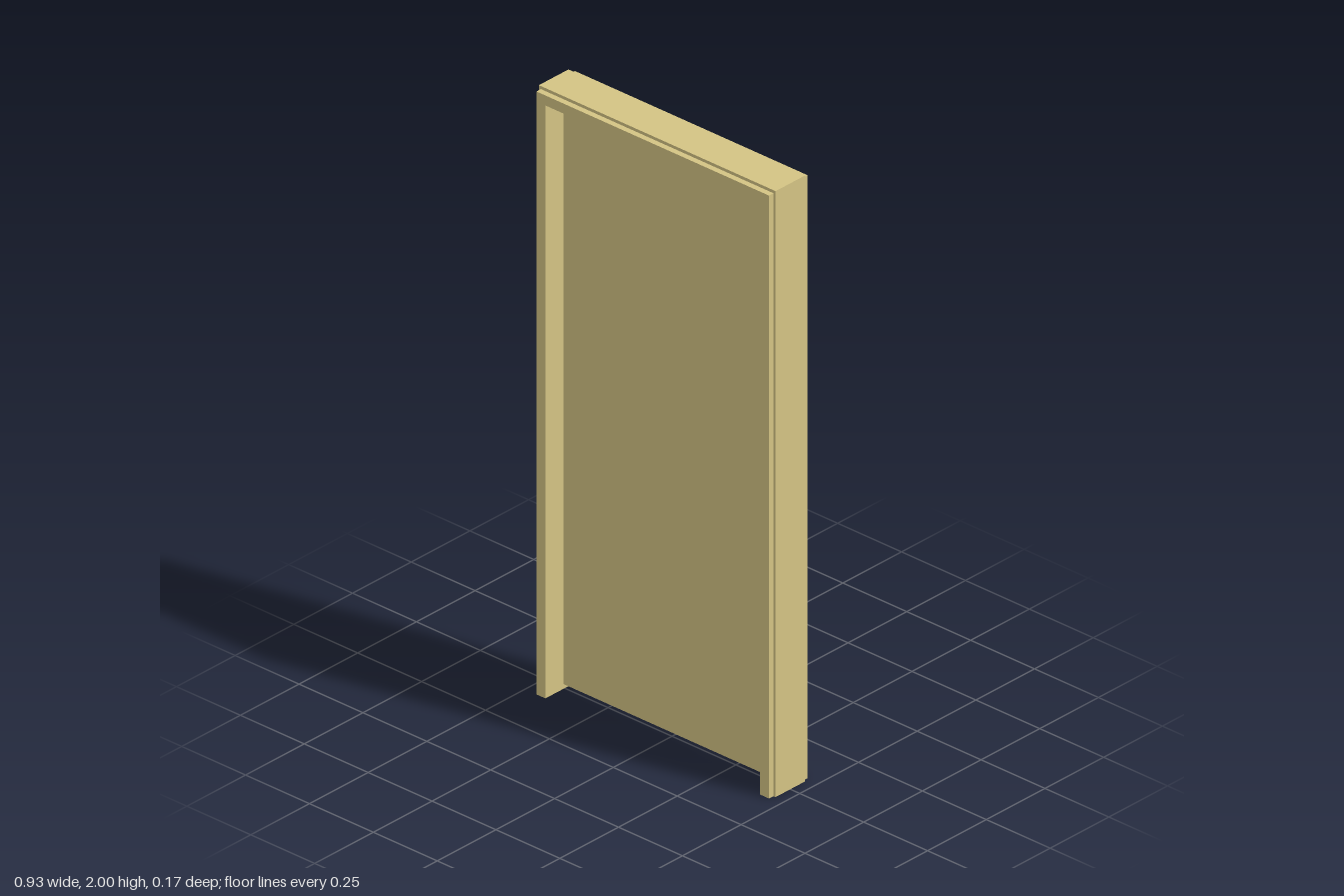
import * as THREE from 'three';

const wood = new THREE.MeshStandardMaterial({ color: 0xd4c484 });

function mesh(name, geometry, x, y, z) {
  const m = new THREE.Mesh(geometry, wood);
  m.name = name;
  m.position.set(x, y, z);
  return m;
}

// Box given by its limits on each axis
function block(name, [x0, x1], [y0, y1], [z0, z1]) {
  return mesh(name, new THREE.BoxGeometry(x1 - x0, y1 - y0, z1 - z0),
    (x0 + x1) / 2, (y0 + y1) / 2, (z0 + z1) / 2);
}

// Round part whose axis points along z
function disc(name, radius, x, y, [z0, z1], sides = 32) {
  const g = new THREE.CylinderGeometry(radius, radius, z1 - z0, sides).rotateX(Math.PI / 2);
  return mesh(name, g, x, y, (z0 + z1) / 2);
}

const INNER = 0.42, OUTER = 0.463, TRIM = 0.455, HEAD = 1.957;
const FRONT = 0.004, BACK = -0.028;

function createFrame() {
  const frame = new THREE.Group();
  frame.name = 'frame';
  const depth = [-0.063, 0.063];
  frame.add(block('headJamb', [-OUTER, OUTER], [HEAD, 2], depth));
  for (const s of [-1, 1]) {
    const span = (a, b) => (s > 0 ? [a, b] : [-b, -a]);
    frame.add(block('sideJamb', span(INNER, OUTER), [0, HEAD], depth));
    // architrave on the front (s = 1) and on the back (s = -1)
    const z = span(0.063, 0.082);
    frame.add(block('headTrim', [-TRIM, TRIM], [HEAD, 1.99], z));
    frame.add(block('leftTrim', [INNER, TRIM], [0, HEAD], z));
    frame.add(block('rightTrim', [-TRIM, -INNER], [0, HEAD], z));
  }
  return frame;
}

function createLeaf() {
  const leaf = new THREE.Group();
  leaf.name = 'leaf';
  const bottom = 0.015, low = 0.24, high = 1.777, split = 0.277, gap = 0.004;
  const skin = [BACK, BACK + 0.005];
  leaf.add(block('leafCore', [-INNER, INNER], [bottom, HEAD], [skin[1], FRONT]));

  // grooved back skin: rails, lock stile and six planks
  leaf.add(block('topRail', [-INNER, INNER], [high + gap, HEAD], skin));
  leaf.add(block('bottomRail', [-INNER, INNER], [bottom, low - gap], skin));
  leaf.add(block('lockStile', [split + gap, INNER], [low + gap, high - gap], skin));
  const step = (high - low) / 6;
  for (let i = 0; i < 6; i++) {
    const y = low + i * step;
    leaf.add(block('plank', [-INNER, split - gap], [y + gap, y + step - gap], skin));
  }
  return leaf;
}

function createHandle() {
  const handle = new THREE.Group();
  handle.name = 'handle';
  const x = 0.35, y = 0.93;
  handle.add(disc('handleRose', 0.026, x, y, [BACK - 0.009, BACK]));
  handle.add(disc('spindle', 0.009, x, y, [-0.077, BACK], 20));
  // lever bar pointing away from the latch edge
  const lever = new THREE.CapsuleGeometry(0.008, 0.114, 6, 16).rotateZ(Math.PI / 2);
  handle.add(mesh('lever', lever, 0.295, y, -0.077));

  // lock cylinder below the lever
  handle.add(disc('lockRose', 0.024, x, 0.868, [BACK - 0.008, BACK]));
  handle.add(disc('lockCylinder', 0.009, x, 0.873, [BACK - 0.012, BACK], 20));
  handle.add(block('lockBody', [x - 0.004, x + 0.004], [0.852, 0.873], [BACK - 0.012, BACK]));
  return handle;
}

export function createModel() {
  const door = new THREE.Group();
  door.name = 'door';
  door.add(createFrame(), createLeaf(), createHandle());
  return door;
}
